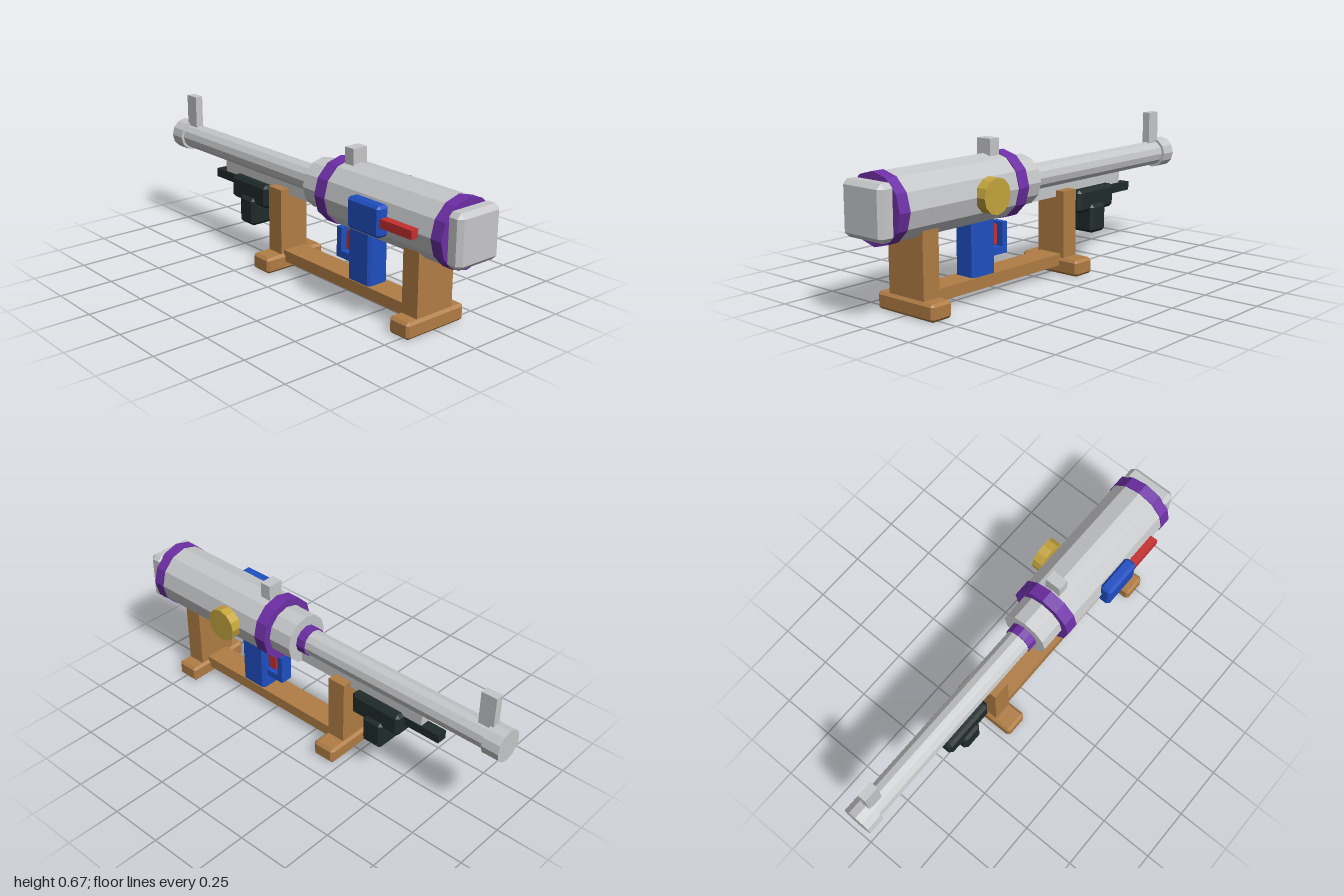
import * as THREE from 'three';
import { ConvexGeometry } from 'three/addons/geometries/ConvexGeometry.js';

export function createModel() {
  const model = new THREE.Group();
  model.name = 'toyLauncherOnStand';

  const mat = (name, color) => {
    const m = new THREE.MeshStandardMaterial({ color });
    m.name = name;
    return m;
  };
  const grey = mat('lightGrey', 0xc6c7c9);
  const purple = mat('purple', 0x6d2fa5);
  const wood = mat('wood', 0xb17d45);
  const blue = mat('blue', 0x1f4fc2);
  const red = mat('red', 0xc72f2f);
  const gold = mat('gold', 0xc5a53d);
  const dark = mat('darkGreen', 0x1f2b2a);

  const add = (name, geo, material, parent = model) => {
    const mesh = new THREE.Mesh(geo, material);
    mesh.name = name;
    parent.add(mesh);
    return mesh;
  };

  // Box given by its limits on each axis; a chamfer c cuts all its edges
  const box = (name, material, [x0, x1], [y0, y1], [z0, z1], c = 0, parent = model) => {
    const h = [(x1 - x0) / 2, (y1 - y0) / 2, (z1 - z0) / 2];
    let geo;
    if (c > 0) {
      const points = [];
      for (const sx of [-1, 1]) for (const sy of [-1, 1]) for (const sz of [-1, 1]) {
        for (let face = 0; face < 3; face++) {
          const p = h.map((v, axis) => (axis === face ? v : v - c));
          points.push(new THREE.Vector3(sx * p[0], sy * p[1], sz * p[2]));
        }
      }
      geo = new ConvexGeometry(points);
    } else {
      geo = new THREE.BoxGeometry(2 * h[0], 2 * h[1], 2 * h[2]);
    }
    geo.translate((x0 + x1) / 2, (y0 + y1) / 2, (z0 + z1) / 2);
    return add(name, geo, material, parent);
  };

  // Flat-sided twelve-sided cylinder, still upright
  const cylinder = (r, length) => {
    const geo = new THREE.CylinderGeometry(r, r, length, 12).toNonIndexed();
    geo.computeVertexNormals();
    return geo;
  };

  // Tube sections along the main axis
  const axisY = 0.459;
  const section = (name, material, r, z0, z1) =>
    add(name, cylinder(r, z1 - z0).rotateX(Math.PI / 2).translate(0, axisY, (z0 + z1) / 2), material);

  section('mainTube', grey, 0.145, 0.205, 0.932);
  section('frontBand', purple, 0.149, 0.88, 0.935);
  section('middleBand', purple, 0.149, 0.2, 0.262);
  section('collar', grey, 0.114, 0.082, 0.21);
  section('barrelBand', purple, 0.067, 0.038, 0.09);
  section('barrel', grey, 0.06, -0.95, 0.1);
  section('muzzle', grey, 0.073, -1, -0.92);

  // End block, sights and rail
  box('endBlock', grey, [-0.115, 0.115], [0.346, 0.575], [0.92, 1], 0.02);
  box('nearSight', grey, [-0.038, 0.038], [0.58, 0.667], [0.268, 0.322]);
  box('farSight', grey, [-0.019, 0.019], [0.5, 0.667], [-0.935, -0.862]);
  box('underRail', grey, [-0.03, 0.03], [0.354, 0.42], [-0.598, 0.1]);

  // Side fittings
  add('sideKnob', cylinder(0.078, 0.05).rotateZ(Math.PI / 2).translate(0.162, axisY, 0.438), gold);
  box('sideBox', blue, [-0.187, -0.128], [0.393, 0.527], [0.445, 0.635], 0.012);
  box('sideBar', red, [-0.178, -0.138], [0.44, 0.478], [0.62, 0.808]);

  // Handle, trigger and guard
  box('handle', blue, [-0.055, 0.055], [0.08, 0.36], [0.309, 0.447], 0.012);
  box('trigger', red, [-0.018, 0.018], [0.203, 0.292], [0.263, 0.309]);
  box('guardFront', blue, [-0.03, 0.03], [0.158, 0.297], [0.212, 0.241]);
  box('guardBottom', blue, [-0.03, 0.03], [0.158, 0.19], [0.24, 0.315]);

  // Dark fore-end under the barrel
  const foreEnd = new THREE.Group();
  foreEnd.name = 'foreEnd';
  model.add(foreEnd);
  box('foreEndBody', dark, [-0.07, 0.07], [0.257, 0.367], [-0.505, -0.244], 0.015, foreEnd);
  box('foreEndGrip', dark, [-0.085, 0.085], [0.155, 0.29], [-0.427, -0.32], 0.015, foreEnd);
  box('foreEndRod', dark, [-0.025, 0.025], [0.305, 0.346], [-0.685, -0.49], 0, foreEnd);

  // Wooden stand
  const stand = new THREE.Group();
  stand.name = 'stand';
  model.add(stand);
  box('frontFoot', wood, [-0.162, 0.162], [0, 0.075], [0.678, 0.79], 0.012, stand);
  box('rearFoot', wood, [-0.162, 0.162], [0, 0.075], [-0.222, -0.108], 0.012, stand);
  box('frontPost', wood, [-0.1, 0.1], [0.05, 0.36], [0.69, 0.777], 0, stand);
  box('rearPost', wood, [-0.075, 0.075], [0.05, 0.383], [-0.208, -0.12], 0, stand);
  box('crossBeam', wood, [-0.06, 0.06], [0.04, 0.093], [-0.15, 0.72], 0, stand);

  return model;
}
